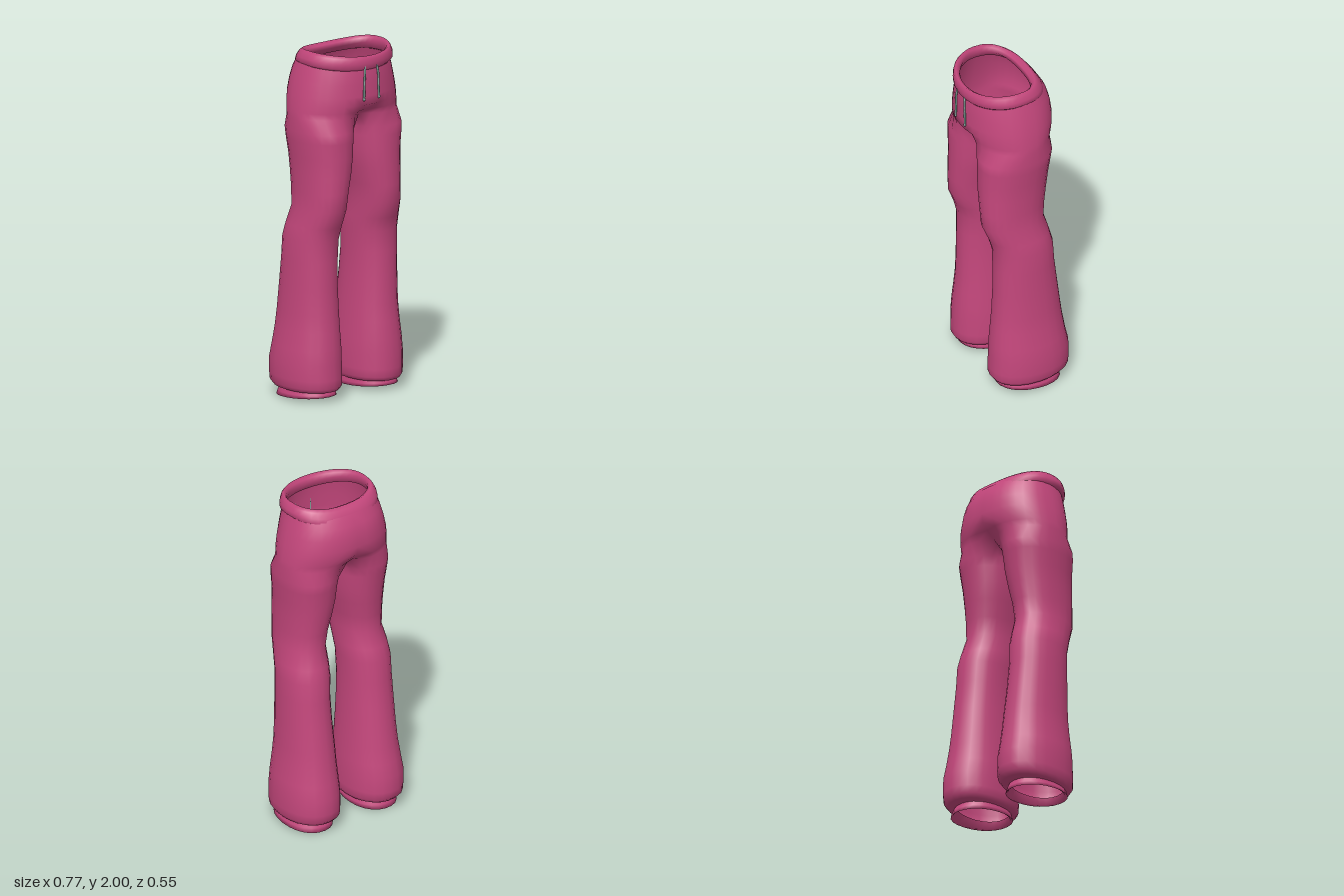
import * as THREE from 'three';
import { mergeGeometries, mergeVertices } from 'three/addons/utils/BufferGeometryUtils.js';

const OUTER = 18; // steps from front seam, round the hip, to back seam
const INNER = 8;  // steps along the inside of the leg
const rad = THREE.MathUtils.degToRad;
const spow = (v, p) => Math.sign(v) * Math.abs(v) ** p;

// Skin consecutive rows of [x, y, z] points, listed bottom to top
function loft(rows, closed) {
  const n = rows[0].length, index = [];
  for (let r = 0; r < rows.length - 1; r++) {
    for (let i = 0; i < (closed ? n : n - 1); i++) {
      const j = (i + 1) % n;
      const a = r * n + i, b = r * n + j, c = b + n, d = a + n;
      index.push(a, b, c, a, c, d);
    }
  }
  const geo = new THREE.BufferGeometry();
  geo.setAttribute('position', new THREE.Float32BufferAttribute(rows.flat(2), 3));
  geo.setIndex(index);
  return geo;
}

function mirrored(geo) {
  const copy = geo.clone().scale(-1, 1, 1);
  copy.setIndex(Array.from(geo.index.array).reverse());
  return copy;
}

function smooth(parts) {
  const geo = mergeVertices(mergeGeometries(parts), 1e-4);
  geo.computeVertexNormals();
  return geo;
}

// Closed ring round one leg; tilt lowers the back and raises the front
function legRing([y, xIn, xOut, zFront, zBack], tilt = 0) {
  const ring = [];
  for (let i = 0; i < OUTER + INNER; i++) {
    const a = rad(i <= OUTER ? -50 + 280 * i / OUTER : 230 + 80 * (i - OUTER) / INNER);
    const s = spow(Math.sin(a), 0.92), c = spow(Math.cos(a), 0.92);
    ring.push([(xIn + xOut) / 2 + s * (xOut - xIn) / 2, y + tilt * c,
      (zFront + zBack) / 2 + c * (zFront - zBack) / 2]);
  }
  return ring;
}

// Half ring round the hips, with optional clefts at the centre front and back
function hipArc([y, x, zFront, zBack, cleftF = 0, cleftB = 0]) {
  const arc = [], mid = 0.02;
  for (let i = 0; i <= OUTER; i++) {
    const a = Math.PI * i / OUTER, s = Math.sin(a), c = Math.cos(a);
    const px = i % OUTER ? x * (c < 0 ? s ** 0.85 : s) : 0;
    const dip = Math.exp(-((px / 0.08) ** 2));
    const pz = c >= 0
      ? mid + c * (zFront - mid) - cleftF * dip
      : mid - (-c) ** 0.85 * (mid - zBack) + cleftB * dip;
    arc.push([px, y, pz]);
  }
  return arc;
}

// Trousers body: two legs joined to the hips along a curved crotch seam
function bodyGeometry() {
  // [y, inner x, outer x, front z, back z]
  const legs = [
    [0.055, 0.09, 0.345, 0.15, -0.19],
    [0.062, 0.068, 0.368, 0.185, -0.245],
    [0.085, 0.053, 0.383, 0.2, -0.268],
    [0.13, 0.051, 0.386, 0.2, -0.272],
    [0.22, 0.052, 0.386, 0.198, -0.27],
    [0.3, 0.056, 0.377, 0.194, -0.253],
    [0.4, 0.064, 0.363, 0.185, -0.237],
    [0.5, 0.069, 0.355, 0.176, -0.224],
    [0.65, 0.078, 0.35, 0.171, -0.205],
    [0.8, 0.08, 0.347, 0.17, -0.187],
    [0.92, 0.074, 0.345, 0.172, -0.18],
    [1.0, 0.071, 0.336, 0.195, -0.16],
    [1.1, 0.074, 0.316, 0.235, -0.132],
    [1.2, 0.06, 0.315, 0.24, -0.14],
    [1.3, 0.036, 0.317, 0.242, -0.155],
    [1.4, 0.018, 0.322, 0.242, -0.17],
    [1.49, 0.01, 0.334, 0.242, -0.182],
    [1.545, 0.004, 0.336, 0.242, -0.192],
  ].map((row) => legRing(row));

  // [y, half width, front z, back z, front cleft, back cleft]
  const hips = [
    [1.625, 0.335, 0.262, -0.21, 0.1, 0.06],
    [1.66, 0.332, 0.266, -0.222, 0.05, 0.025],
    [1.7, 0.326, 0.273, -0.231],
    [1.75, 0.318, 0.274, -0.237],
    [1.82, 0.302, 0.272, -0.23],
    [1.88, 0.286, 0.27, -0.213],
    [1.935, 0.27, 0.262, -0.18],
  ].map(hipArc);

  // Crotch seam runs from the back to the front at x = 0
  const crotch = [...hips[0]];
  const front = hips[0][0], back = hips[0][OUTER];
  for (let j = 1; j < INNER; j++) {
    const t = j / INNER;
    crotch.push([0, front[1] - 0.045 * Math.sin(Math.PI * t),
      THREE.MathUtils.lerp(back[2], front[2], t)]);
  }
  const half = [loft([...legs, crotch], true), loft(hips, false)];
  return smooth([...half, ...half.map(mirrored)]);
}

// Flared ankle cuff with a thin turned-in rim
function cuffGeometry() {
  return smooth([loft([
    legRing([0.07, 0.1, 0.335, 0.14, -0.18]),
    legRing([0.024, 0.092, 0.348, 0.148, -0.202], 0.01),
    legRing([0.015, 0.08, 0.362, 0.164, -0.218], 0.014),
    legRing([0.035, 0.08, 0.356, 0.16, -0.21], 0.008),
    legRing([0.07, 0.09, 0.345, 0.15, -0.19]),
  ], true)]);
}

// Rolled waistband, dipping at the front and back
function waistbandGeometry() {
  const rows = [
    [1.925, 0.25, 0.245, -0.15],
    [1.916, 0.268, 0.262, -0.186],
    [1.93, 0.283, 0.274, -0.188],
    [1.957, 0.28, 0.277, -0.177],
    [1.985, 0.268, 0.275, -0.157],
    [2.0, 0.255, 0.263, -0.135],
    [1.987, 0.243, 0.243, -0.112],
    [1.962, 0.24, 0.235, -0.106],
    [1.925, 0.25, 0.245, -0.15],
  ].map(([y, x, zf, zb]) => {
    const ring = [], n = 36, mid = 0.05;
    for (let i = 0; i < n; i++) {
      const a = 2 * Math.PI * i / n, s = Math.sin(a), c = Math.cos(a);
      const p = c < 0 ? 0.8 : 1;
      ring.push([x * spow(s, p), y - 0.022 * c * c,
        mid + spow(c, p) * (c < 0 ? mid - zb : zf - mid)]);
    }
    return ring;
  });
  return smooth([loft(rows, true)]);
}

export function createModel() {
  const group = new THREE.Group();
  group.name = 'trousers';
  const pink = new THREE.MeshStandardMaterial({ color: 0xc4477c, side: THREE.DoubleSide });
  pink.name = 'pink fabric';
  const cord = new THREE.MeshStandardMaterial({ color: 0x86a89e });
  cord.name = 'grey green cord';

  const add = (name, geo, mat) => {
    const mesh = new THREE.Mesh(geo, mat);
    mesh.name = name;
    group.add(mesh);
  };

  add('hipsAndLegs', bodyGeometry(), pink);
  add('waistband', waistbandGeometry(), pink);

  const cuff = cuffGeometry();
  add('leftCuff', cuff, pink);
  const rightCuff = mirrored(cuff);
  rightCuff.computeVertexNormals();
  add('rightCuff', rightCuff, pink);

  // Drawstrings hanging from the waistband, each with a knotted tip
  for (const [side, name] of [[1, 'left'], [-1, 'right']]) {
    const path = new THREE.CatmullRomCurve3([
      new THREE.Vector3(side * 0.041, 1.92, 0.268),
      new THREE.Vector3(side * 0.047, 1.885, 0.274),
      new THREE.Vector3(side * 0.051, 1.81, 0.274),
      new THREE.Vector3(side * 0.054, 1.735, 0.275),
    ]);
    add(name + 'Drawstring', new THREE.TubeGeometry(path, 12, 0.006, 8), cord);
    const tip = new THREE.SphereGeometry(0.008, 10, 8);
    tip.scale(1, 1.3, 0.8).translate(side * 0.054, 1.735, 0.275);
    add(name + 'DrawstringTip', tip, cord);
  }
  return group;
}
